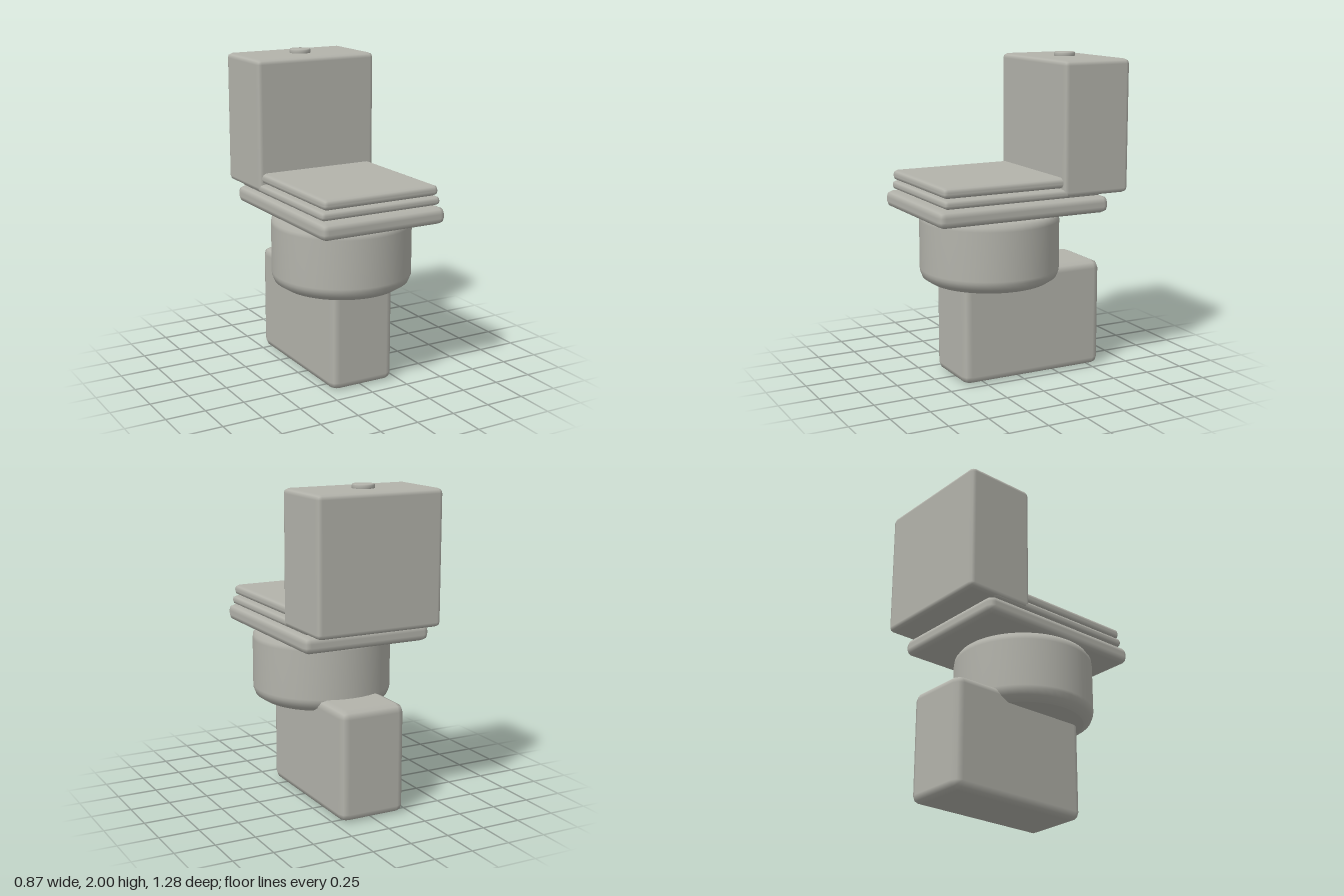
import * as THREE from 'three';
import { RoundedBoxGeometry } from 'three/addons/geometries/RoundedBoxGeometry.js';

export function createModel() {
  const model = new THREE.Group();
  model.name = 'toilet';

  const ceramic = new THREE.MeshStandardMaterial({ color: 0xb3b3ab });
  ceramic.name = 'grey ceramic';

  function add(name, geometry) {
    const mesh = new THREE.Mesh(geometry, ceramic);
    mesh.name = name;
    model.add(mesh);
    return mesh;
  }

  // Bevelled block, symmetric in x, spanning the given y and z ranges
  function block(name, halfWidth, [y0, y1], [z0, z1], bevel) {
    const geometry = new RoundedBoxGeometry(halfWidth * 2, y1 - y0, z1 - z0, 1, bevel);
    geometry.clearGroups();
    add(name, geometry).position.set(0, (y0 + y1) / 2, (z0 + z1) / 2);
  }

  // Round part turned about a vertical axis at the given z
  function turned(name, profile, z, sides) {
    const points = profile.map(([r, y]) => new THREE.Vector2(r, y));
    add(name, new THREE.LatheGeometry(points, sides)).position.z = z;
  }

  block('pedestal', 0.215, [0, 0.69], [-0.57, 0.39], 0.05);

  // Bowl with softened lower and upper rims
  turned('bowl', [
    [0, 0.605], [0.37, 0.605], [0.375, 0.606], [0.42, 0.635], [0.434, 0.67],
    [0.435, 0.69], [0.435, 0.99], [0.432, 1.015], [0.415, 1.04], [0, 1.04],
  ], 0.115, 48);

  block('rim', 0.42, [1.04, 1.145], [-0.5, 0.64], 0.04);
  block('seat', 0.405, [1.15, 1.205], [-0.46, 0.6], 0.025);
  block('lid', 0.39, [1.21, 1.275], [-0.46, 0.6], 0.028);
  block('tank', 0.41, [1.155, 1.975], [-0.64, -0.185], 0.03);

  // Flush button on the tank
  turned('flushButton', [
    [0, 1.97], [0.062, 1.97], [0.067, 1.976], [0.067, 1.994], [0.063, 2], [0.06, 2], [0, 2],
  ], -0.415, 32);

  return model;
}
